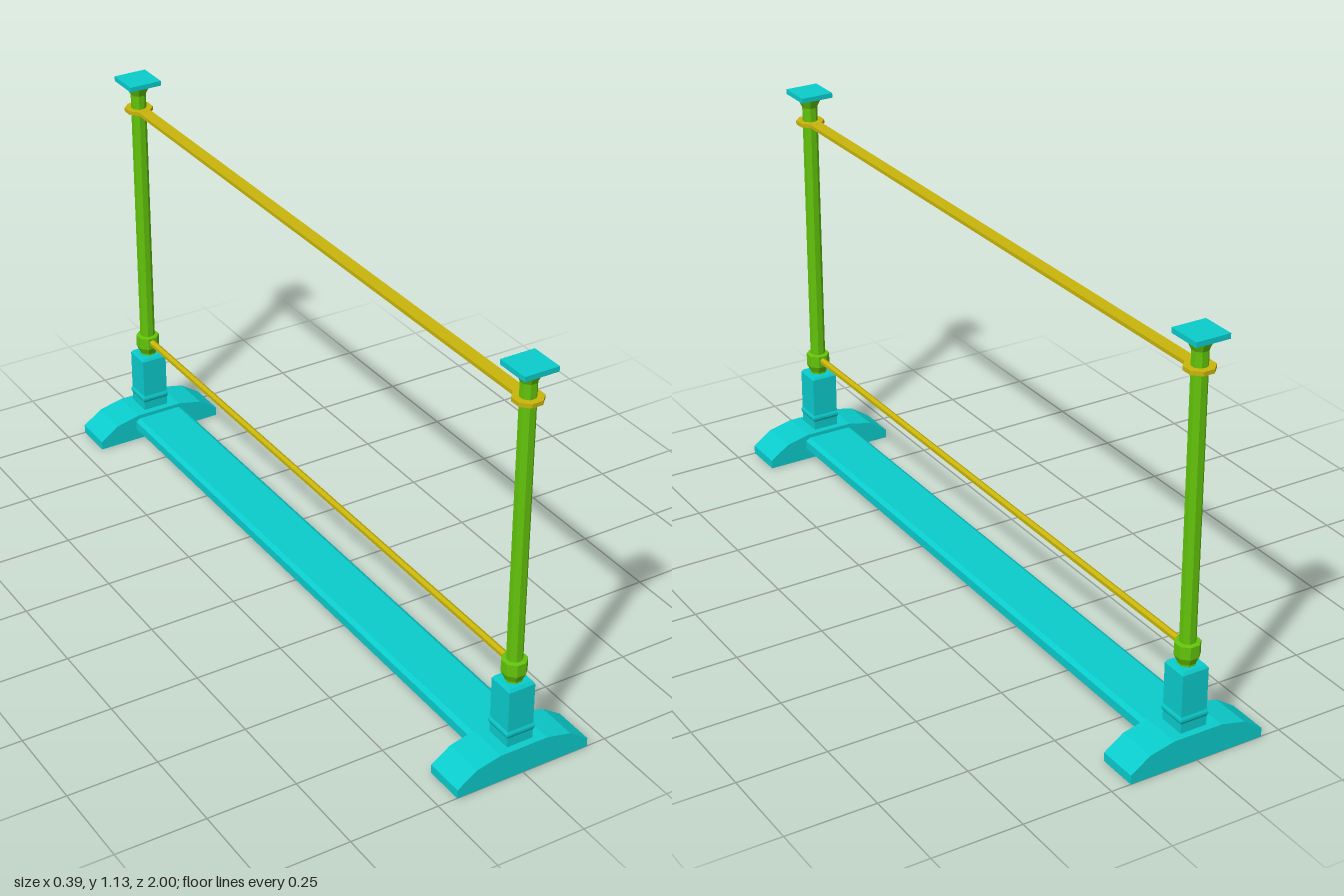
import * as THREE from 'three';

const paint = (color, extra = {}) =>
  new THREE.MeshStandardMaterial({ color, flatShading: true, ...extra });

function add(parent, name, geometry, material, x = 0, y = 0, z = 0) {
  const mesh = new THREE.Mesh(geometry, material);
  mesh.name = name;
  mesh.position.set(x, y, z);
  parent.add(mesh);
  return mesh;
}

// Turned profile with flat sides facing the axes; radii are measured to the flats
function turned(profile, sides) {
  const k = 1 / Math.cos(Math.PI / sides);
  const points = profile.map(([r, y]) => new THREE.Vector2(r * k, y));
  return new THREE.LatheGeometry(points, sides).rotateY(Math.PI / sides);
}

// Outline in x and y, extruded along z and centred on z = 0
function prism(outline, depth) {
  const shape = new THREE.Shape(outline.map(([x, y]) => new THREE.Vector2(x, y)));
  return new THREE.ExtrudeGeometry(shape, { depth, bevelEnabled: false }).translate(0, 0, -depth / 2);
}

// Arched foot: two side walls and a top strip, open underneath
function footGeometry(depth) {
  const half = [[0.195, 0], [0.195, 0.025], [0.14, 0.063], [0.07, 0.079]];
  const outline = [...half, ...half.map(([x, y]) => [-x, y]).reverse()];
  const d = depth / 2;
  const pos = [];
  const tri = (...corners) => corners.forEach((c) => pos.push(...c));
  for (let i = 0; i < outline.length - 1; i++) {
    const [ax, ay] = outline[i];
    const [bx, by] = outline[i + 1];
    tri([ax, ay, d], [ax, ay, -d], [bx, by, -d]);
    tri([ax, ay, d], [bx, by, -d], [bx, by, d]);
    tri([0, 0, d], [ax, ay, d], [bx, by, d]);
    tri([0, 0, -d], [bx, by, -d], [ax, ay, -d]);
  }
  const geometry = new THREE.BufferGeometry();
  geometry.setAttribute('position', new THREE.Float32BufferAttribute(pos, 3));
  geometry.computeVertexNormals();
  return geometry;
}

export function createModel() {
  const model = new THREE.Group();
  model.name = 'barrier';
  const teal = paint(0x0acccc);
  const tealShell = paint(0x0acccc, { side: THREE.DoubleSide });
  const green = paint(0x62c40a);
  const yellow = paint(0xc8b40a);
  const postZ = 0.943;

  const foot = footGeometry(0.115);
  const pedestal = turned([
    [0, 0.07], [0.038, 0.07], [0.038, 0.105], [0.041, 0.112], [0.041, 0.118],
    [0.038, 0.125], [0.038, 0.242], [0.033, 0.25], [0, 0.25],
  ], 4);
  // Collar, shaft and flared head in one octagonal turning
  const post = turned([
    [0.022, 0.245], [0.022, 0.255], [0.031, 0.275], [0.031, 0.31], [0.02, 0.312],
    [0.02, 1.085], [0.034, 1.117], [0, 1.117],
  ], 8);
  const ring = turned([[0, 1.034], [0.037, 1.034], [0.037, 1.045], [0, 1.045]], 8);

  // A complete stand at each end
  for (const side of [1, -1]) {
    const stand = new THREE.Group();
    stand.name = side > 0 ? 'frontStand' : 'backStand';
    stand.position.z = side * postZ;
    add(stand, 'foot', foot, tealShell);
    add(stand, 'pedestal', pedestal, teal);
    add(stand, 'post', post, green);
    add(stand, 'railRing', ring, yellow);
    add(stand, 'capPlate', new THREE.BoxGeometry(0.096, 0.014, 0.096), teal, 0, 1.124, 0);
    model.add(stand);
  }

  // Foot height follows the flat top of the arch; chamfered plank joins the feet
  add(model, 'basePlank', prism([
    [-0.078, 0.035], [0.078, 0.035], [0.078, 0.06], [0.066, 0.068], [-0.066, 0.068], [-0.078, 0.06],
  ], 1.86), teal);

  // Rails
  add(model, 'upperRail', new THREE.BoxGeometry(0.036, 0.01, 1.86), yellow, 0, 1.0395, 0);
  const lowerRail = new THREE.CylinderGeometry(0.01, 0.01, 1.86, 6).rotateX(Math.PI / 2);
  add(model, 'lowerRail', lowerRail, yellow, 0, 0.295, 0);

  return model;
}
